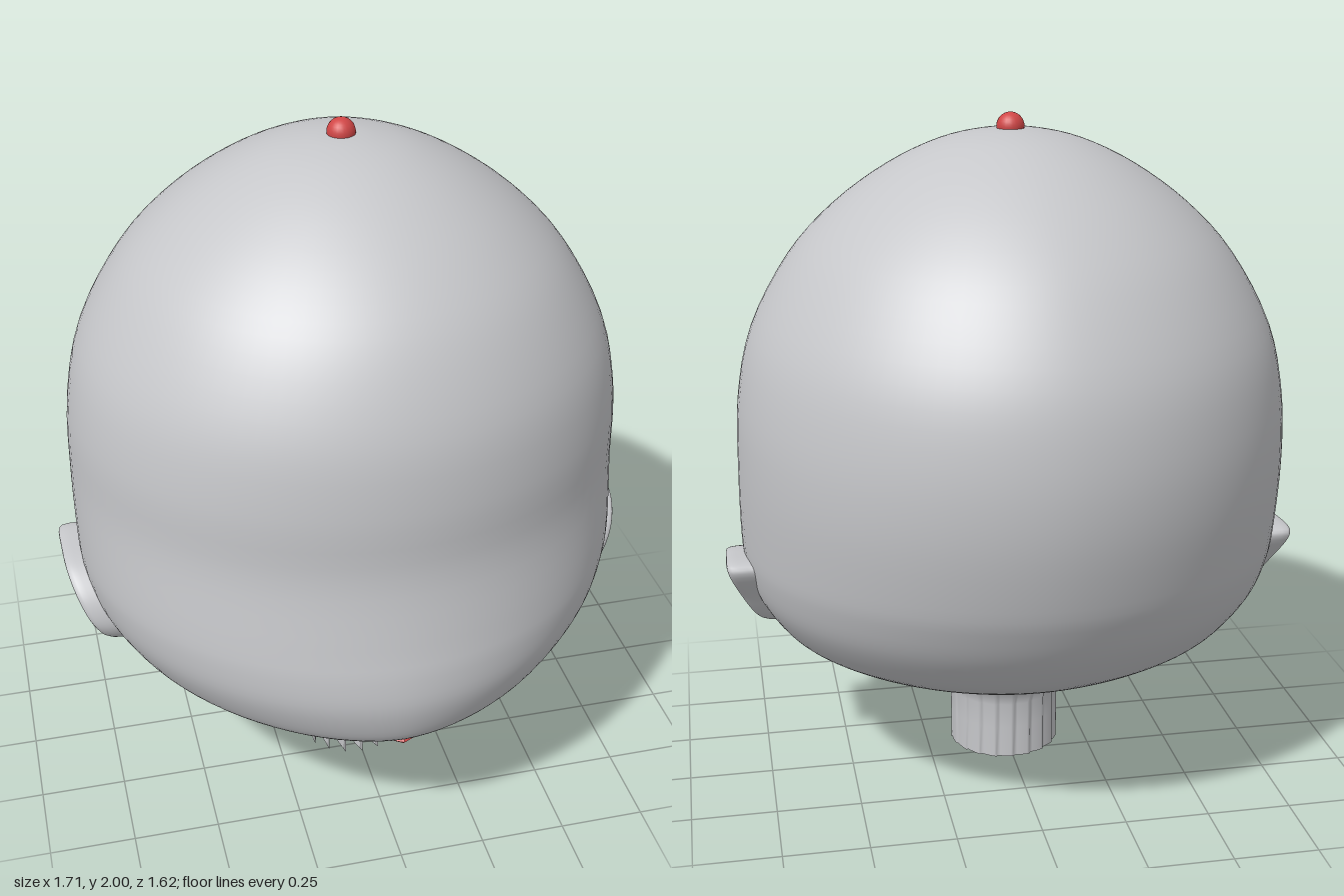
import * as THREE from 'three';

// Skin a stack of closed rings (arrays of Vector3) with smooth normals
function loft(rings) {
  const n = rings[0].length, pos = [], idx = [];
  rings.forEach(r => r.forEach(p => pos.push(p.x, p.y, p.z)));
  for (let i = 0; i < rings.length - 1; i++) {
    for (let j = 0; j < n; j++) {
      const a = i * n + j, b = i * n + (j + 1) % n;
      idx.push(a, a + n, b, b, a + n, b + n);
    }
  }
  const g = new THREE.BufferGeometry();
  g.setAttribute('position', new THREE.Float32BufferAttribute(pos, 3));
  g.setIndex(idx);
  g.computeVertexNormals();
  return g;
}

// Horizontal ring: half width, front and back depth about cz, roundness p of the front
function headRing(y, w, front, back, cz, p, n = 96) {
  return Array.from({ length: n }, (_, j) => {
    const a = j / n * Math.PI * 2, c = Math.cos(a), s = Math.sin(a);
    const e = 2 / (s > 0 ? p : 1.93);
    const x = Math.sign(c) * Math.abs(c) ** e * w;
    const z = cz + Math.sign(s) * Math.abs(s) ** e * (s > 0 ? front - cz : cz - back);
    return new THREE.Vector3(x, y, z);
  });
}

// y, half width, front z, back z, centre z, front roundness
const HEAD = [
  [0.21, 0.15, 0.27, -0.03, 0.12, 2],
  [0.25, 0.2, 0.32, -0.085, 0.12, 2],
  [0.3, 0.32, 0.43, -0.18, 0.12, 1.9],
  [0.35, 0.45, 0.57, -0.31, 0.11, 1.8],
  [0.4, 0.57, 0.68, -0.42, 0.1, 1.74],
  [0.45, 0.655, 0.752, -0.51, 0.08, 1.74],
  [0.5, 0.71, 0.788, -0.575, 0.07, 1.78],
  [0.6, 0.77, 0.812, -0.66, 0.05, 1.86],
  [0.7, 0.798, 0.806, -0.718, 0.04, 1.92],
  [0.8, 0.806, 0.786, -0.758, 0.03, 1.96],
  [1.0, 0.806, 0.752, -0.802, 0, 1.98],
  [1.2, 0.797, 0.75, -0.807, 0, 2],
  [1.4, 0.752, 0.72, -0.765, 0, 2],
  [1.6, 0.642, 0.628, -0.652, 0, 2],
  [1.74, 0.512, 0.505, -0.52, 0, 2],
  [1.85, 0.36, 0.355, -0.365, 0, 2],
  [1.92, 0.215, 0.213, -0.217, 0, 2],
  [1.95, 0.095, 0.095, -0.095, 0, 2],
  [1.957, 0.002, 0.002, -0.002, 0, 2],
];

function headGeometry() {
  const curve = f => new THREE.CatmullRomCurve3(
    HEAD.map(r => new THREE.Vector3(...f(r))), false, 'catmullrom', 0.5);
  const a = curve(r => [r[0], r[1], r[2]]), b = curve(r => [r[3], r[4], r[5]]);
  const rows = (HEAD.length - 1) * 4;
  return loft(Array.from({ length: rows + 1 }, (_, i) => {
    const u = a.getPoint(i / rows), v = b.getPoint(i / rows);
    return headRing(u.x, u.y, u.z, v.x, v.y, v.z);
  }));
}

// Neck of slanted pleats, deepest at the front and fading into the head
function neckGeometry() {
  const teeth = 20, per = 8, n = teeth * per;
  const rows = [[0, 0.17, 1], [0.1, 0.17, 1], [0.18, 0.171, 0.8], [0.22, 0.181, 0.4], [0.25, 0.203, 0.1], [0.28, 0.23, 0]];
  const rings = rows.map(([y, r, fold]) => Array.from({ length: n }, (_, j) => {
    const a = j / n * Math.PI * 2, s = Math.sin(a);
    const t = (j % per) / (per - 1);
    const depth = fold * t * (0.008 + 0.11 * Math.max(0, s));
    return new THREE.Vector3(Math.cos(a) * (r - depth * 0.3), y, 0.12 + s * r - depth * (s > 0 ? 1 : -1));
  }));
  return loft(rings);
}

// Teardrop ear leaning outward, with a rounded rim and a shallow dish
function earGeometry(side) {
  const outline = new THREE.CatmullRomCurve3([
    [-0.13, 0.725], [-0.01, 0.735], [0.1, 0.715], [0.175, 0.65], [0.2, 0.56],
    [0.165, 0.495], [0.08, 0.48], [0, 0.515], [-0.065, 0.61],
  ].map(([z, y]) => new THREE.Vector3(0, y, z)), true).getPoints(64).slice(0, 64);
  // scale about the middle, offset from the outer face
  const steps = [[1.0, -0.11], [1.0, -0.06], [1.0, -0.035], [0.985, -0.016], [0.95, -0.004], [0.9, 0],
    [0.84, -0.003], [0.7, -0.01], [0.4, -0.014], [0.01, -0.015]];
  const rings = steps.map(([k, dx]) => outline.map(p => {
    const y = 0.61 + (p.y - 0.61) * k, z = 0.05 + (p.z - 0.05) * k;
    const t = THREE.MathUtils.clamp((y - 0.45) / 0.285, 0, 1);
    return new THREE.Vector3(side * (0.675 + 0.185 * Math.sqrt(t) + dx), y, z);
  }));
  return loft(side > 0 ? rings.reverse() : rings);
}

export function createModel() {
  const group = new THREE.Group();
  const skin = new THREE.MeshStandardMaterial({ name: 'grey skin', color: 0xc6c7ca, side: THREE.DoubleSide });
  const red = new THREE.MeshStandardMaterial({ name: 'red marker', color: 0xd04646 });
  const add = (name, geometry, material) => {
    const mesh = new THREE.Mesh(geometry, material);
    mesh.name = name;
    group.add(mesh);
    return mesh;
  };

  add('head', headGeometry(), skin);
  add('neck', neckGeometry(), skin);
  add('leftEar', earGeometry(1), skin);
  add('rightEar', earGeometry(-1), skin);

  // Marker balls on the crown and just breaking the chin
  add('crownMarker', new THREE.SphereGeometry(0.04, 24, 16), red).position.set(0, 1.96, 0);
  const chin = add('chinMarker', new THREE.OctahedronGeometry(1), red);
  chin.scale.set(0.028, 0.014, 0.014);
  chin.position.set(0, 0.442, 0.742);

  return group;
}
